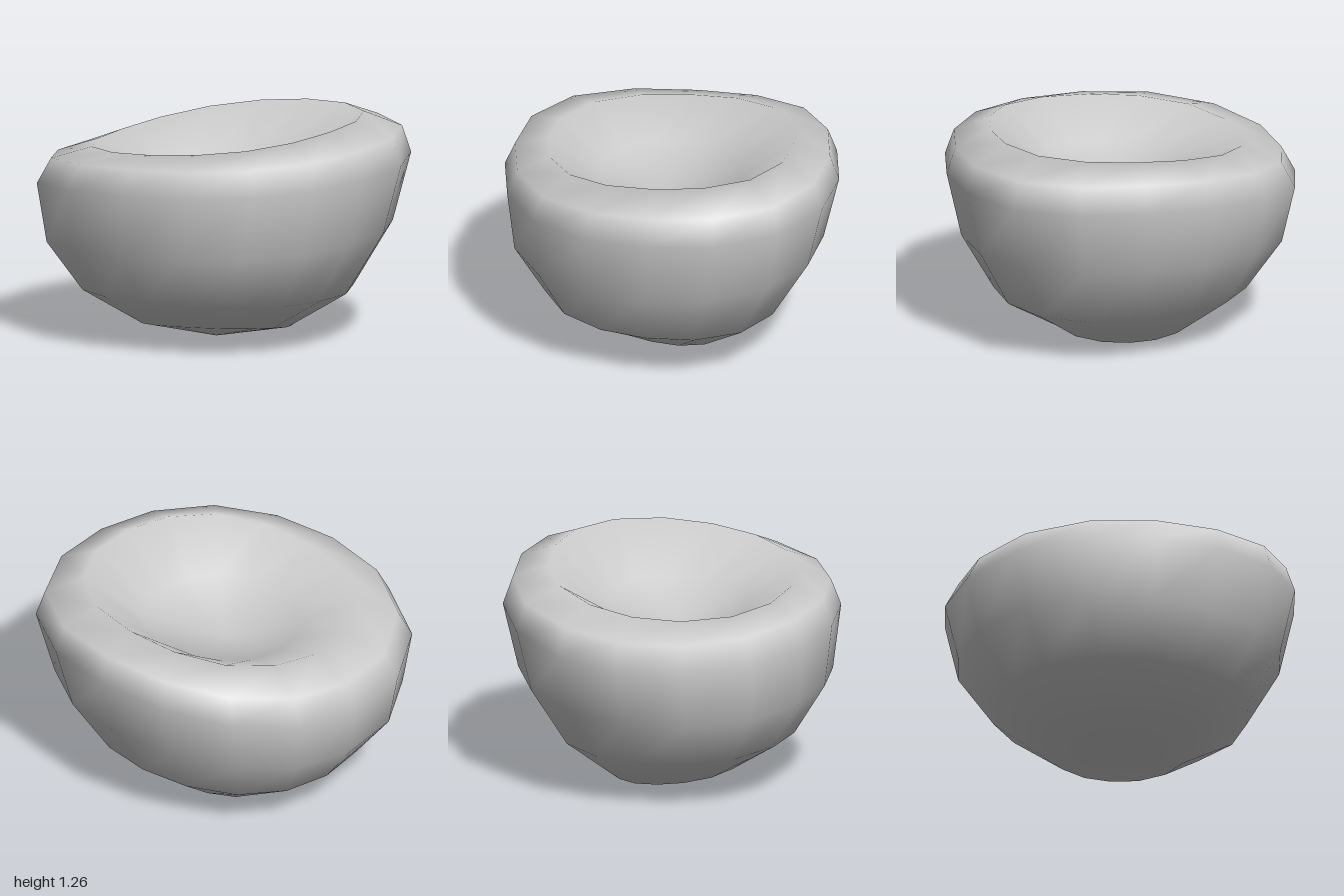
import * as THREE from 'three';

// Cross-sections from the base, over the lip and down into the hollow:
// [x radius, z radius, x centre, z centre, height, tilt along x, tilt along z, rise at front and back]
const RINGS = [
  [0.40, 0.375, 0, 0.055, 0.065, 0.025, 0.045, 0],
  [0.725, 0.685, -0.005, 0.045, 0.265, 0.015, 0.01, 0.02],
  [0.92, 0.885, -0.01, 0.025, 0.57, 0.045, -0.03, 0.045],
  [1.00, 0.95, 0, 0, 0.925, 0.075, -0.04, 0.055],
  [0.935, 0.895, 0.015, -0.005, 1.075, 0.075, -0.045, 0.05],
  [0.72, 0.70, 0.03, 0, 1.165, 0.075, -0.052, 0.022],
  [0.42, 0.41, 0.035, 0.01, 0.975, 0.02, -0.02, 0],
];
const SIDES = 16;

function bowlGeometry() {
  const points = [0, 0, 0.05];
  for (const [rx, rz, cx, cz, y, tx, tz, rise] of RINGS) {
    for (let j = 0; j < SIDES; j++) {
      const a = (j / SIDES) * Math.PI * 2;
      const c = Math.cos(a), s = Math.sin(a);
      // the outline is fuller on its diagonals, and the back leans towards +x
      const d = Math.sin(2 * a);
      const full = 1 + 0.04 * d * d - 0.028 * d;
      const lean = 0.06 * Math.min(s, 0) ** 2 * rz;
      // front and back stand higher than the sides, more so towards -x
      const lift = rise * s * s * (1 - 0.7 * c);
      points.push(cx + rx * c * full + lean, y + tx * c + tz * s + lift, cz + rz * s * full);
    }
  }
  points.push(0.03, 0.84, 0.04);

  const faces = [];
  const at = (ring, j) => 1 + ring * SIDES + (j % SIDES);
  const last = RINGS.length - 1;
  const floor = 1 + RINGS.length * SIDES;
  for (let j = 0; j < SIDES; j++) {
    faces.push(0, at(0, j), at(0, j + 1)); // underside
    for (let i = 0; i < last; i++) {
      const a = at(i, j), b = at(i, j + 1), c = at(i + 1, j), d = at(i + 1, j + 1);
      faces.push(a, c, b, b, c, d);
    }
    faces.push(at(last, j), floor, at(last, j + 1)); // floor of the hollow
  }

  const geometry = new THREE.BufferGeometry();
  geometry.setAttribute('position', new THREE.Float32BufferAttribute(points, 3));
  geometry.setIndex(faces);
  geometry.computeVertexNormals();
  return geometry;
}

export function createModel() {
  const group = new THREE.Group();
  group.name = 'bowl';
  const body = new THREE.Mesh(
    bowlGeometry(),
    new THREE.MeshStandardMaterial({ color: 0xcccccc })
  );
  body.name = 'bowlBody';
  group.add(body);
  return group;
}
